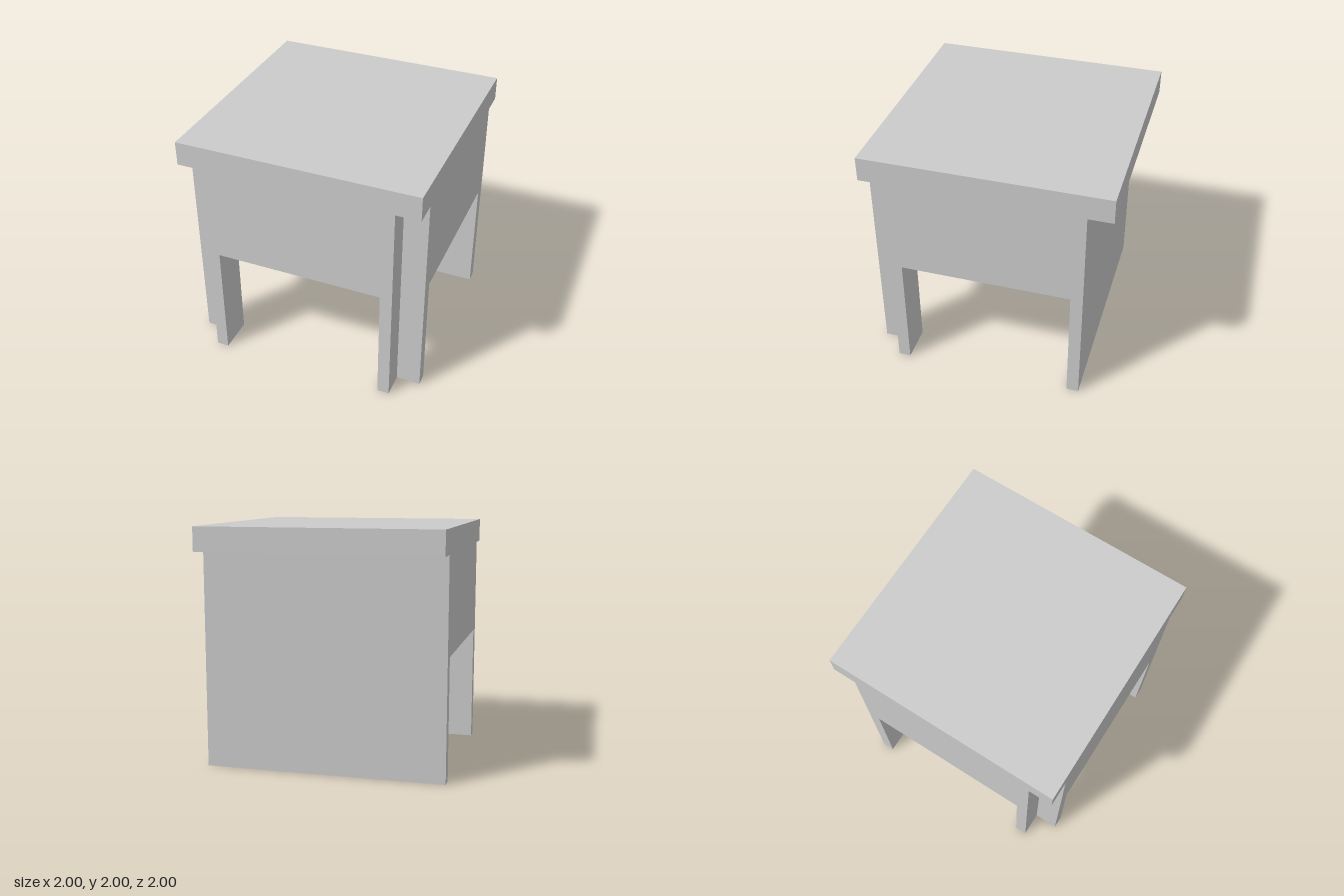
import * as THREE from 'three';

const material = new THREE.MeshStandardMaterial({ color: 0xcccccc, flatShading: true });

// Plan outline of [x, z] points raised from y0 to y1
function prism(name, outline, y0, y1) {
  const shape = new THREE.Shape(outline.map(([x, z]) => new THREE.Vector2(x, -z)));
  const geometry = new THREE.ExtrudeGeometry(shape, { depth: y1 - y0, bevelEnabled: false });
  geometry.rotateX(-Math.PI / 2).translate(0, y0, 0);
  const mesh = new THREE.Mesh(geometry, material);
  mesh.name = name;
  return mesh;
}

const rectangle = (x0, x1, z0, z1) => [[x0, z0], [x0, z1], [x1, z1], [x1, z0]];

export function createModel() {
  const group = new THREE.Group();
  group.name = 'table';

  // Square top slab, overhanging the back and the notched front corners
  group.add(prism('top', rectangle(-1, 1, -1, 1), 1.8, 2));

  // Deep solid body with both front corners cut away
  group.add(prism('body', [
    [-1, -0.7], [-1, 0.8], [-0.8, 0.8], [-0.8, 1],
    [0.8, 1], [0.8, 0.8], [1, 0.8], [1, -0.7],
  ], 1, 1.8));

  // Full-height back panel
  group.add(prism('backPanel', rectangle(-1, 1, -0.8, -0.7), 0, 1.8));

  // L-section front legs following the notched corners
  for (const [name, s] of [['leftFrontLeg', 1], ['rightFrontLeg', -1]]) {
    group.add(prism(name, [
      [0.7, 0.7], [0.7, 1], [0.8, 1], [0.8, 0.8], [1, 0.8], [1, 0.7],
    ].map(([x, z]) => [s * x, z]), 0, 1));
  }

  return group;
}
